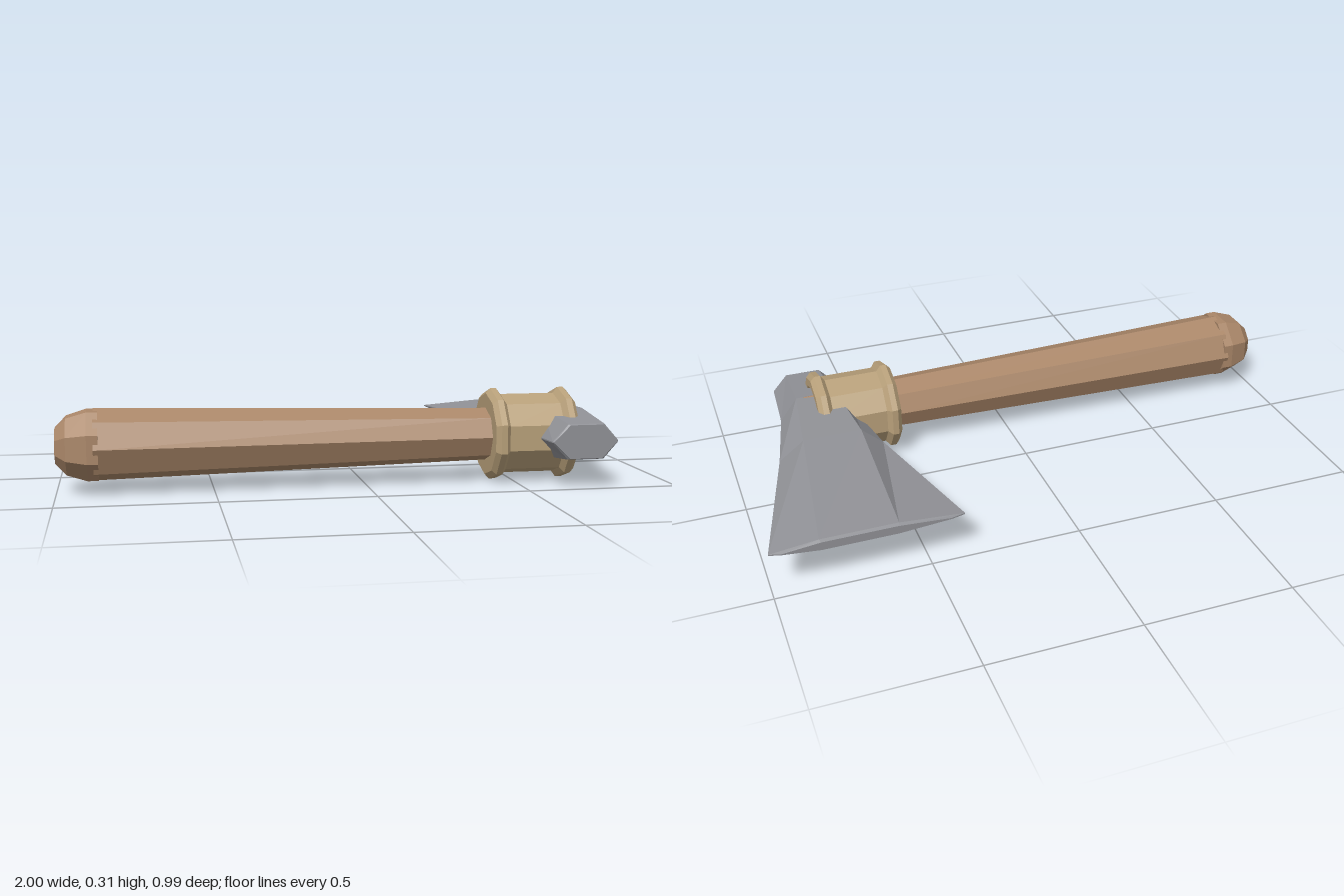
import * as THREE from 'three';

const wood = new THREE.MeshStandardMaterial({ color: 0xaa8769, flatShading: true });
const binding = new THREE.MeshStandardMaterial({ color: 0xb8a07a, flatShading: true });
const steel = new THREE.MeshStandardMaterial({ color: 0x909196, flatShading: true });

// Faceted solid turned around the handle axis; profile is [x, radius] along the axis
function turned(name, profile, sides, turn, material) {
  const points = profile.map(([x, r]) => new THREE.Vector2(r, x));
  const mesh = new THREE.Mesh(new THREE.LatheGeometry(points, sides, turn), material);
  mesh.name = name;
  mesh.rotation.z = -Math.PI / 2;
  mesh.position.set(0, 0.157, 0.267);
  return mesh;
}

// Hexagonal cross-sections joined along z, with both ends capped
function loft(sections) {
  const rings = sections.map(([z, x0, f0, f1, x1, h, e]) => [
    [x1, e, z], [f1, h, z], [f0, h, z], [x0, e, z],
    [x0, -e, z], [f0, -h, z], [f1, -h, z], [x1, -e, z],
  ]);
  const n = rings[0].length;
  const index = [];
  for (let s = 0; s < rings.length - 1; s++) {
    for (let i = 0; i < n; i++) {
      const a = s * n + i, b = s * n + (i + 1) % n;
      index.push(a, a + n, b, b, a + n, b + n);
    }
  }
  const last = (rings.length - 1) * n;
  for (let i = 1; i < n - 1; i++) {
    index.push(0, i, i + 1, last, last + i + 1, last + i);
  }
  const geometry = new THREE.BufferGeometry();
  geometry.setAttribute('position', new THREE.Float32BufferAttribute(rings.flat(2), 3));
  geometry.setIndex(index);
  const flat = geometry.toNonIndexed();
  flat.computeVertexNormals();
  return flat;
}

export function createModel() {
  const axe = new THREE.Group();
  axe.name = 'axe';

  // Tapered octagonal handle, running through the head
  const handle = turned('handle',
    [[-0.88, 0], [-0.88, 0.117], [0.42, 0.088], [0.73, 0.081], [0.73, 0]], 8, 0, wood);
  handle.scale.z = 1.08;
  axe.add(handle);

  // Rounded butt of the handle
  const pommel = turned('pommel',
    [[-1, 0], [-1, 0.06], [-0.965, 0.098], [-0.9, 0.119], [-0.865, 0.119], [-0.865, 0]],
    8, Math.PI / 8, wood);
  pommel.scale.z = 1.08;
  axe.add(pommel);

  // Socket collar with a bevelled rim at each end and an open bore
  axe.add(turned('collar', [
    [0.415, 0.085], [0.415, 0.138], [0.43, 0.154], [0.45, 0.154], [0.465, 0.134],
    [0.65, 0.134], [0.665, 0.154], [0.685, 0.154], [0.70, 0.138], [0.70, 0.11],
    [0.67, 0.1], [0.415, 0.085],
  ], 10, Math.PI / 10, binding));

  // Axe head: z, left edge, flat start, flat end, right edge, half thickness, edge half thickness
  const head = new THREE.Mesh(loft([
    [0.493, 0.582, 0.635, 0.745, 0.795, 0.055, 0.002],
    [0.487, 0.577, 0.63, 0.75, 0.80, 0.058, 0.002],
    [0.27, 0.56, 0.615, 0.755, 0.815, 0.08, 0.002],
    [0.01, 0.515, 0.587, 0.785, 0.87, 0.065, 0.002],
    [-0.485, 0.383, 0.595, 0.845, 1.0, 0.019, 0.002],
    [-0.496, 0.43, 0.6, 0.84, 0.96, 0.014, 0.002],
  ]), steel);
  head.name = 'axeHead';
  head.position.y = 0.157;
  axe.add(head);

  return axe;
}
